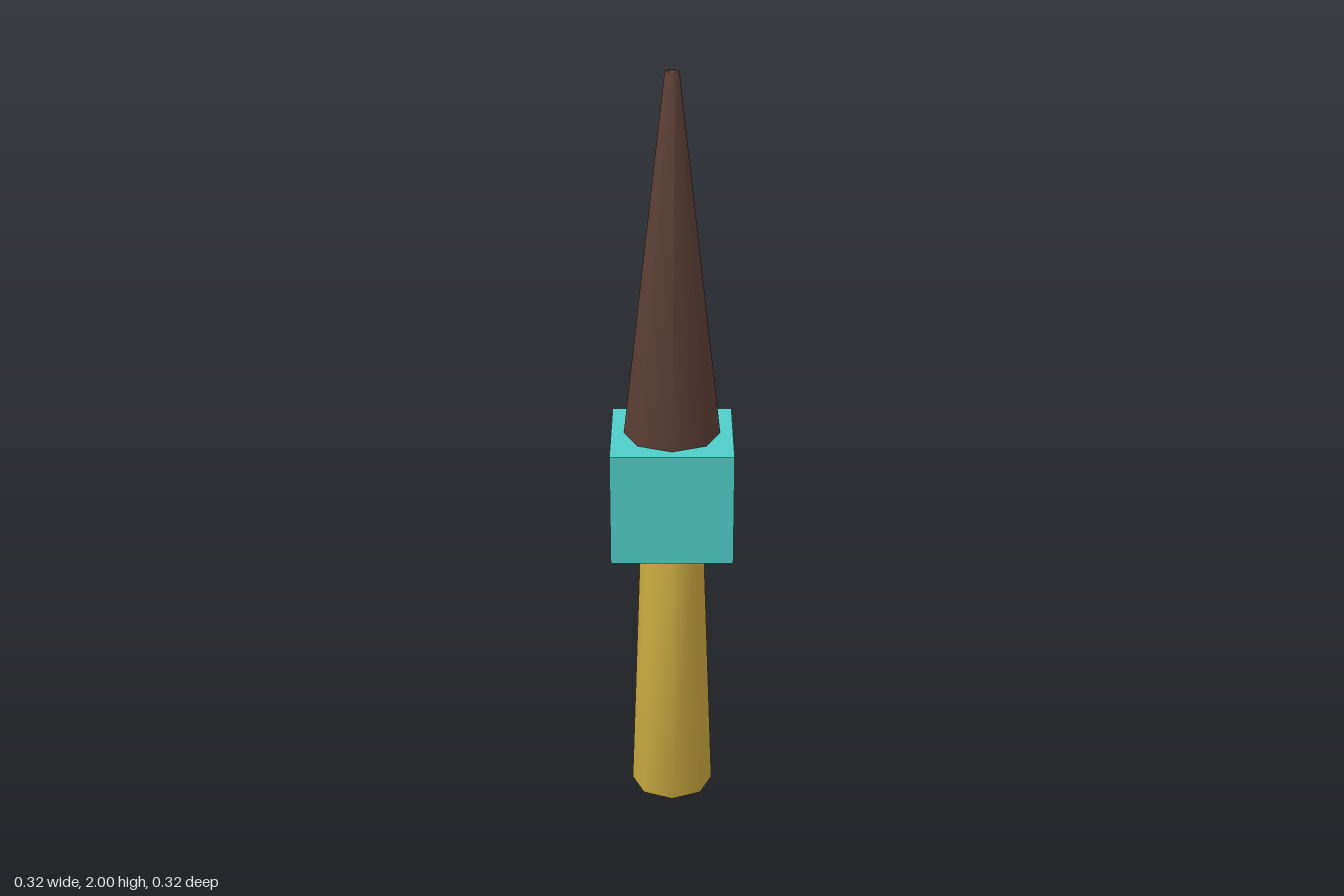
import * as THREE from 'three';
import { mergeVertices } from 'three/addons/utils/BufferGeometryUtils.js';

const gold = new THREE.MeshStandardMaterial({ name: 'gold', color: 0xcaaa40 });
const turquoise = new THREE.MeshStandardMaterial({ name: 'turquoise', color: 0x4fcdc8 });
const darkBrown = new THREE.MeshStandardMaterial({ name: 'dark brown', color: 0x5d4037 });

// Eight-sided tapered shaft with normals smoothed over sides and caps
function taperedShaft(topRadius, bottomRadius, bottomY, topY) {
  const geometry = new THREE.CylinderGeometry(topRadius, bottomRadius, topY - bottomY, 8);
  geometry.deleteAttribute('normal');
  geometry.deleteAttribute('uv');
  const smooth = mergeVertices(geometry);
  smooth.computeVertexNormals();
  smooth.translate(0, (bottomY + topY) / 2, 0);
  return smooth;
}

export function createModel() {
  const model = new THREE.Group();
  model.name = 'spike';

  const add = (name, geometry, material) => {
    const mesh = new THREE.Mesh(geometry, material);
    mesh.name = name;
    model.add(mesh);
  };

  // Handle widening towards the foot
  add('handle', taperedShaft(0.083, 0.11, 0, 0.76), gold);

  // Square collar between handle and spike
  const collar = new THREE.BoxGeometry(0.316, 0.3, 0.316);
  collar.translate(0, 0.905, 0);
  add('collar', collar, turquoise);

  // Long blunt-tipped spike
  add('spikeTip', taperedShaft(0.018, 0.125, 1.055, 2), darkBrown);

  return model;
}
